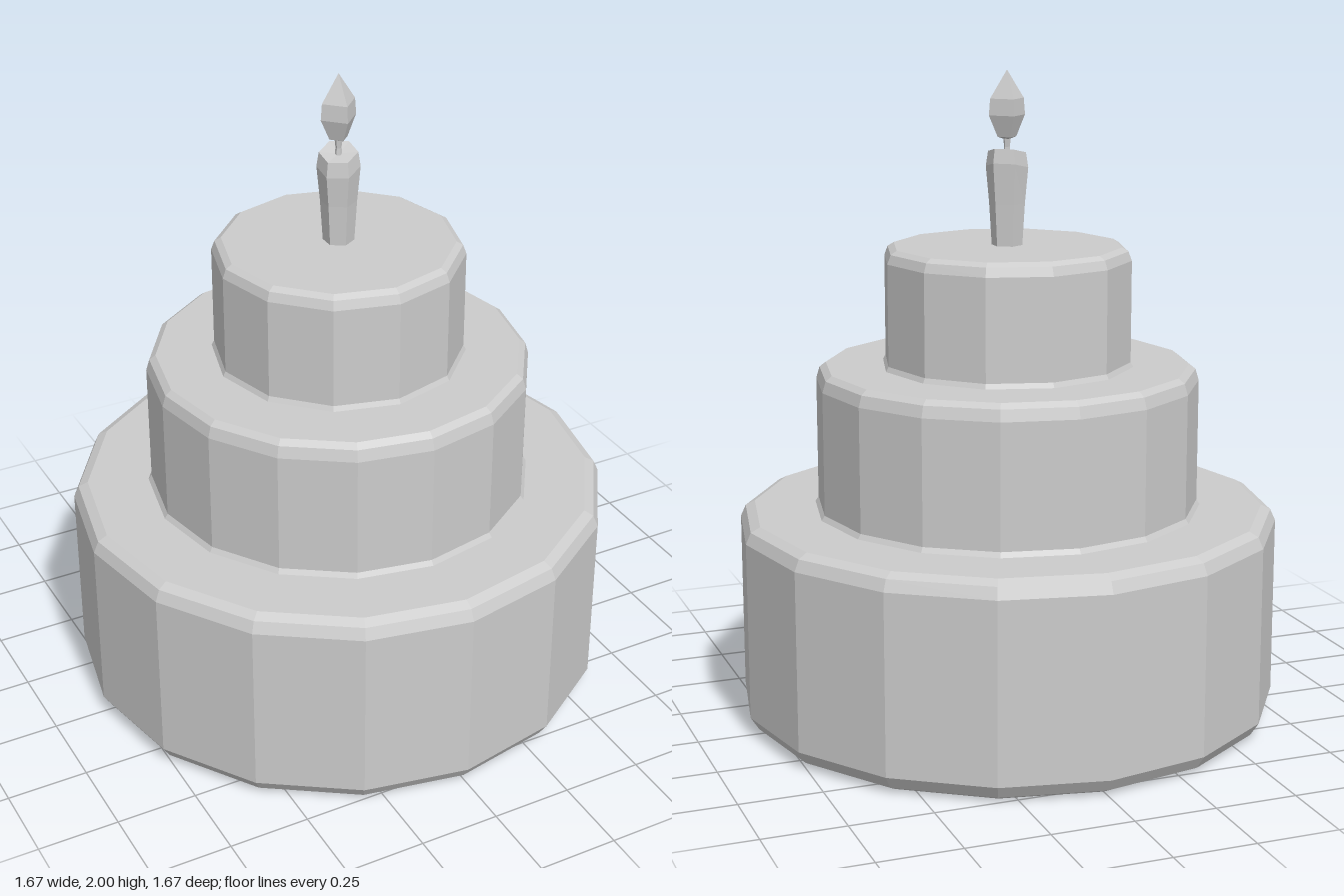
import * as THREE from 'three';

const material = new THREE.MeshStandardMaterial({ color: 0xcccccc, flatShading: true });

// Faceted solid of revolution from [radius, height] pairs, bottom to top
function turned(name, profile, sides) {
  const points = profile.map(([r, y]) => new THREE.Vector2(r, y));
  const mesh = new THREE.Mesh(new THREE.LatheGeometry(points, sides), material);
  mesh.name = name;
  return mesh;
}

// Cake tier with a chamfered top rim
function tier(name, radius, y0, y1, inset, drop, sides, base) {
  return turned(name, [
    ...base,
    [radius, y1 - drop],
    [radius - inset * 0.35, y1 - drop * 0.3],
    [radius - inset, y1],
    [0, y1],
  ], sides);
}

export function createModel() {
  const cake = new THREE.Group();
  cake.name = 'cake';

  // Three stacked tiers; the lowest also has a chamfered foot
  cake.add(
    tier('bottomTier', 0.836, 0, 0.66, 0.045, 0.05, 16,
      [[0, 0.005], [0.78, 0.005], [0.81, 0.02], [0.836, 0.06]]),
    tier('middleTier', 0.59, 0.66, 1.105, 0.03, 0.05, 16,
      [[0.6, 0.66], [0.59, 0.675]]),
    tier('topTier', 0.382, 1.105, 1.472, 0.03, 0.04, 12,
      [[0.39, 1.105], [0.382, 1.12]]),
  );

  // Candle: flares upward, with a slanted top that rises to the back and left
  const candle = turned('candle', [
    [0.047, 1.47], [0.055, 1.6], [0.065, 1.71], [0.058, 1.755], [0, 1.75],
  ], 6);
  const pos = candle.geometry.attributes.position;
  for (let i = 0; i < pos.count; i++) {
    if (pos.getY(i) > 1.7) {
      pos.setY(i, pos.getY(i) + 0.14 * pos.getX(i) - 0.2 * pos.getZ(i));
    }
  }
  candle.geometry.computeVertexNormals();
  cake.add(candle);

  // Wick and four-sided flame
  cake.add(
    turned('wick', [[0.012, 1.74], [0.009, 1.77], [0.012, 1.805]], 6),
    turned('flame', [[0, 1.79], [0.03, 1.8], [0.058, 1.865], [0.054, 1.915], [0, 2]], 4),
  );
  return cake;
}
